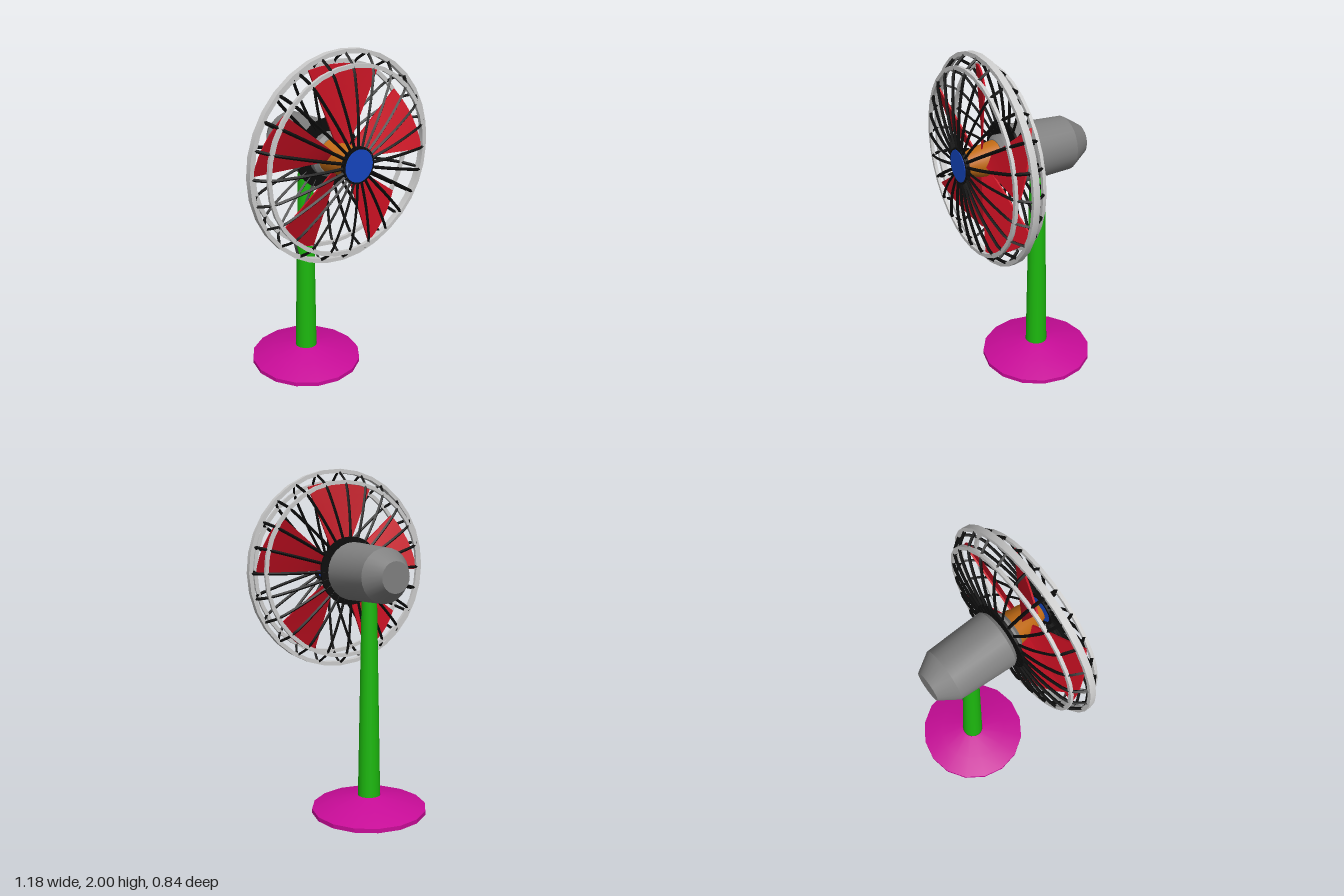
import * as THREE from 'three';
import { toCreasedNormals, mergeGeometries } from 'three/addons/utils/BufferGeometryUtils.js';

const HEAD_Y = 1.41; // height of the fan axis
const POLE_Z = -0.08;

const mat = (color) => new THREE.MeshStandardMaterial({ color, side: THREE.DoubleSide });
const steel = mat(0xcccccc), casing = mat(0x808080), black = mat(0x0c0c0c), red = mat(0xc81022),
  blue = mat(0x1546c0), green = mat(0x1cb80e), magenta = mat(0xc80c98), orange = mat(0xc06a14);

function add(parent, name, geometry, material) {
  const mesh = new THREE.Mesh(geometry, material);
  mesh.name = name;
  parent.add(mesh);
  return mesh;
}

// Turned part from [radius, height] pairs, creased at sharp edges
function turned(profile, sides, crease = 0.5) {
  const points = profile.map(([r, h]) => new THREE.Vector2(r, h));
  return toCreasedNormals(new THREE.LatheGeometry(points, sides), crease);
}

// Turned part lying along z
const turnedZ = (profile, sides, crease) => turned(profile, sides, crease).rotateX(Math.PI / 2);

// Flat hoop with a rectangular section
const hoop = (r0, r1, z0, z1, sides = 32) =>
  turnedZ([[r0, z0], [r1, z0], [r1, z1], [r0, z1], [r0, z0]], sides);

// Wedge blade, twisted more towards the tip
function bladeGeometry() {
  const g = new THREE.BoxGeometry(1, 1, 1, 6, 8, 1);
  const p = g.attributes.position;
  for (let i = 0; i < p.count; i++) {
    const s = p.getX(i) * 2, t = p.getY(i) + 0.5;
    const r = 0.06 + 0.455 * t, a = 0.345 * s;
    const z = 0.265 + 0.065 * s * (0.25 + 0.75 * t) + p.getZ(i) * 0.01;
    p.setXYZ(i, r * Math.sin(a), r * Math.cos(a), z);
  }
  return toCreasedNormals(g, 0.6);
}

// Ribs around the guard following one [radius, z] path
function ribs(path, count) {
  const curve = new THREE.CatmullRomCurve3(path.map(([r, z]) => new THREE.Vector3(r, 0, z)));
  const rib = new THREE.TubeGeometry(curve, 12, 0.009, 4);
  const all = [];
  for (let i = 0; i < count; i++) all.push(rib.clone().rotateZ((i / count) * Math.PI * 2));
  return toCreasedNormals(mergeGeometries(all), 0.6);
}

export function createModel() {
  const model = new THREE.Group();
  model.name = 'deskFan';

  // Hollow stepped foot
  add(model, 'base', turned([[0.06, 0.085], [0.2, 0.05], [0.33, 0], [0.34, 0], [0.34, 0.025],
    [0.215, 0.068], [0.07, 0.1], [0.06, 0.085]], 16, 0.3), magenta).position.z = POLE_Z;

  // Tapered pole
  add(model, 'pole', new THREE.CylinderGeometry(0.044, 0.067, 1.215, 16), green)
    .position.set(0, 0.0875 + 0.6075, POLE_Z);

  const head = new THREE.Group();
  head.name = 'head';
  head.position.y = HEAD_Y;
  model.add(head);

  // Motor housing and neck
  add(head, 'motorHousing', turnedZ([[0, -0.355], [0.088, -0.355], [0.155, -0.25], [0.17, 0.095],
    [0.155, 0.115], [0, 0.115]], 24), casing);
  add(head, 'neck', turnedZ([[0.125, 0.11], [0.125, 0.17], [0.105, 0.19], [0, 0.19]], 24), casing);

  // Hub and blades
  add(head, 'hub', turnedZ([[0, 0.185], [0.1, 0.19], [0.085, 0.3], [0.06, 0.38], [0, 0.385]], 20), orange);
  const blade = bladeGeometry();
  for (let i = 0; i < 5; i++) {
    add(head, 'blade', blade, red).rotation.z = (i / 5) * Math.PI * 2;
  }

  // Guard
  const guard = new THREE.Group();
  guard.name = 'guard';
  head.add(guard);
  add(guard, 'outerHoop', hoop(0.567, 0.59, 0.252, 0.288), steel);
  add(guard, 'frontHoop', hoop(0.503, 0.525, 0.337, 0.355), steel);
  add(guard, 'backHoop', hoop(0.503, 0.525, 0.178, 0.196), steel);
  add(guard, 'frontRibs', ribs([[0.08, 0.404], [0.25, 0.398], [0.4, 0.376], [0.512, 0.346], [0.575, 0.275]], 24), black);
  add(guard, 'backRibs', ribs([[0.16, 0.129], [0.28, 0.136], [0.4, 0.153], [0.512, 0.187], [0.575, 0.265]], 24), black);
  add(guard, 'backCollar', hoop(0.12, 0.2, 0.122, 0.136), black);

  // Front cap
  add(guard, 'capRim', hoop(0.085, 0.102, 0.39, 0.412, 24), black);
  add(guard, 'frontCap', turnedZ([[0, 0.392], [0.09, 0.392], [0.09, 0.416], [0, 0.416]], 24), blue);

  return model;
}
